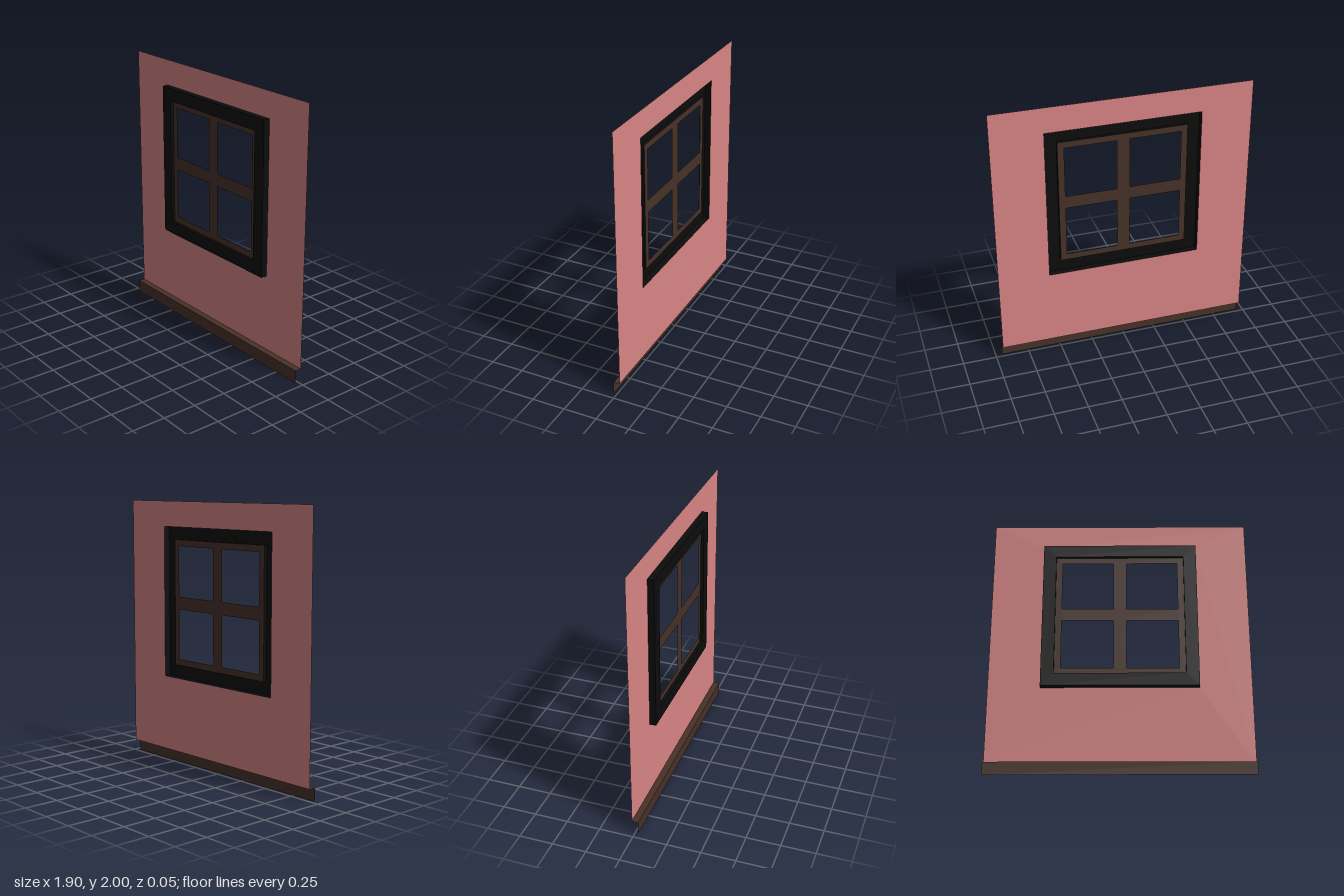
import * as THREE from 'three';

const U = 1 / 21;          // base module of the design
const D = U / 2;           // half depth
const CY = 26 * U;         // window centre height

const material = (color) =>
  new THREE.MeshStandardMaterial({ color, side: THREE.DoubleSide, flatShading: true });

// Rectangle outline given by its corners, as a shape or a hole
function rect(Type, x0, y0, x1, y1) {
  return new Type([[x0, y0], [x1, y0], [x1, y1], [x0, y1]].map(([x, y]) => new THREE.Vector2(x, y)));
}

// Flat panel with rectangular openings, facing +z
function panel(name, outer, holes, z, mat) {
  const shape = rect(THREE.Shape, ...outer);
  shape.holes = holes.map((h) => rect(THREE.Path, ...h));
  const mesh = new THREE.Mesh(new THREE.ShapeGeometry(shape), mat);
  mesh.name = name;
  mesh.position.z = z;
  return mesh;
}

// Square open sleeve running from z0 to z1 around the window centre
function sleeve(name, half, z0, z1, mat) {
  const r = half * Math.SQRT2;
  const geo = new THREE.CylinderGeometry(r, r, z1 - z0, 4, 1, true);
  geo.rotateY(Math.PI / 4).rotateX(Math.PI / 2);
  const mesh = new THREE.Mesh(geo, mat);
  mesh.name = name;
  mesh.position.set(0, CY, (z0 + z1) / 2);
  return mesh;
}

const square = (half) => [-half, CY - half, half, CY + half];

export function createModel() {
  const model = new THREE.Group();
  model.name = 'windowWall';
  const pink = material(0xdb8686);
  const brown = material(0x483228);
  const black = material(0x0c0c0c);

  // Thin wall at the back with the window opening
  model.add(panel('wall', [-20 * U / 1.0 * 0.9975, 2 * U, 20 * U * 0.9975, 2], [square(12 * U)], -D, pink));

  // Skirting board: front face and top ledge, open behind
  const skirting = new THREE.Group();
  skirting.name = 'skirting';
  skirting.add(panel('skirtingFront', [-20 * U, 0, 20 * U, 2 * U], [], D, brown));
  const ledge = new THREE.Mesh(new THREE.PlaneGeometry(40 * U, 2 * D).rotateX(-Math.PI / 2), brown);
  ledge.name = 'skirtingTop';
  ledge.position.y = 2 * U;
  skirting.add(ledge);
  model.add(skirting);

  // Raised window frame, hollow behind
  const frame = new THREE.Group();
  frame.name = 'windowFrame';
  frame.add(
    panel('frameFront', square(12 * U), [square(10 * U)], D, black),
    sleeve('frameOuterSides', 12 * U, -D, D, black),
    sleeve('frameInnerSides', 10 * U, 0, D, black),
  );
  model.add(frame);

  // Flat sash with four open panes
  const panes = [];
  for (const sx of [-1, 1]) {
    for (const sy of [-1, 1]) {
      const x = sx * 5 * U, y = CY + sy * 5 * U, h = 4 * U;
      panes.push([x - h, y - h, x + h, y + h]);
    }
  }
  model.add(panel('sash', square(10 * U), panes, 0, brown));
  return model;
}
